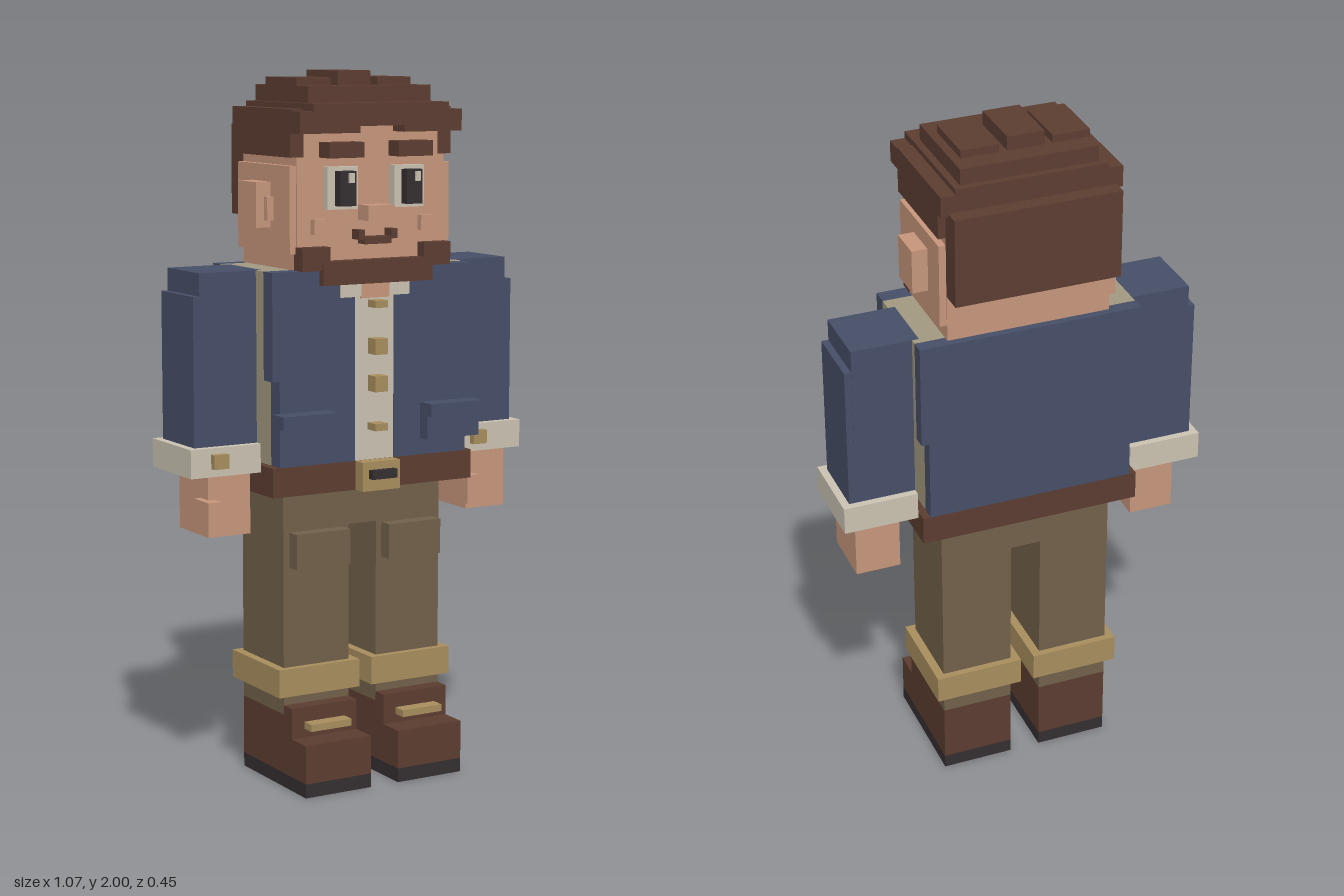
import * as THREE from 'three';

const paint = (name, color) => {
  const m = new THREE.MeshStandardMaterial({ color });
  m.name = name;
  return m;
};

export function createModel() {
  const skin = paint('skin', 0xc6957b);
  const hair = paint('brown hair', 0x5c3d31);
  const leather = paint('brown leather', 0x5b3c30);
  const jacket = paint('blue jacket', 0x464e67);
  const cream = paint('cream cloth', 0xcac2b1);
  const shirt = paint('shirt beige', 0xa2987f);
  const trousers = paint('olive trousers', 0x71604a);
  const tan = paint('tan brass', 0xa78d5d);
  const dark = paint('near black', 0x342e30);

  const model = new THREE.Group();
  const group = (name) => {
    const g = new THREE.Group();
    g.name = name;
    model.add(g);
    return g;
  };
  // Box given by its lower and upper limits on each axis
  const box = (parent, name, mat, x0, x1, y0, y1, z0, z1) => {
    const mesh = new THREE.Mesh(new THREE.BoxGeometry(x1 - x0, y1 - y0, z1 - z0), mat);
    mesh.position.set((x0 + x1) / 2, (y0 + y1) / 2, (z0 + z1) / 2);
    mesh.name = name;
    parent.add(mesh);
  };
  // The same box on both sides
  const pair = (parent, name, mat, x0, x1, ...yz) => {
    box(parent, name + 'Left', mat, x0, x1, ...yz);
    box(parent, name + 'Right', mat, -x1, -x0, ...yz);
  };

  // Boots and legs
  const legs = group('legs');
  pair(legs, 'sole', dark, 0.045, 0.255, 0, 0.04, -0.14, 0.225);
  pair(legs, 'bootFoot', leather, 0.045, 0.255, 0.04, 0.15, -0.14, 0.225);
  pair(legs, 'bootShaft', leather, 0.045, 0.255, 0.15, 0.21, -0.14, 0.145);
  pair(legs, 'bootTongue', leather, 0.045, 0.255, 0.21, 0.237, 0.1, 0.145);
  pair(legs, 'bootLace', tan, 0.085, 0.215, 0.175, 0.195, 0.145, 0.185);
  pair(legs, 'trouserLeg', trousers, 0.045, 0.255, 0.21, 0.735, -0.14, 0.1);
  pair(legs, 'trouserCuff', tan, 0.02, 0.28, 0.265, 0.345, -0.16, 0.12);
  pair(legs, 'thighPocket', trousers, 0.063, 0.235, 0.63, 0.73, 0.1, 0.142);
  box(legs, 'hips', trousers, -0.255, 0.255, 0.735, 0.845, -0.14, 0.1);

  // Belt
  const belt = group('belt');
  box(belt, 'beltBand', leather, -0.322, 0.322, 0.845, 0.927, -0.18, 0.165);
  box(belt, 'buckle', tan, -0.06, 0.06, 0.845, 0.927, 0.165, 0.205);
  box(belt, 'bucklePin', dark, -0.04, 0.04, 0.88, 0.905, 0.205, 0.225);

  // Shirt and open jacket, narrower below the arms
  const torso = group('torso');
  for (const [part, w, y0, y1] of [['lower', 0.3, 0.927, 1.165], ['upper', 0.322, 1.165, 1.463]]) {
    box(torso, part + 'Shirt', shirt, -w, w, y0, y1, -0.14, 0.115);
    box(torso, part + 'JacketBack', jacket, -w, w, y0, y1, -0.18, -0.14);
    pair(torso, part + 'JacketFront', jacket, 0.063, w, y0, y1 > 1.4 ? 1.42 : y1, 0.115, 0.165);
  }
  pair(torso, 'jacketShoulder', jacket, 0.165, 0.322, 1.42, 1.463, 0.115, 0.165);
  pair(torso, 'collar', cream, 0.045, 0.165, 1.42, 1.463, 0.115, 0.165);
  pair(torso, 'collarPoint', cream, 0.045, 0.11, 1.385, 1.43, 0.12, 0.17);
  box(torso, 'placket', cream, -0.063, 0.063, 0.927, 1.385, 0.115, 0.163);
  box(torso, 'neck', skin, -0.045, 0.045, 1.38, 1.47, 0.1, 0.167);
  pair(torso, 'jacketPocket', jacket, 0.15, 0.322, 0.975, 1.04, 0.165, 0.205);
  pair(torso, 'pocketFlap', jacket, 0.15, 0.322, 1.04, 1.077, 0.165, 0.225);
  for (const [y, h] of [[1.247, 0.022], [1.143, 0.022], [1.022, 0.01], [1.365, 0.01]]) {
    box(torso, 'shirtButton', tan, -0.02, 0.02, y - h, y + h, 0.163, 0.205);
  }

  // Sleeves
  const arms = group('arms');
  pair(arms, 'upperSleeve', jacket, 0.302, 0.495, 1.165, 1.463, -0.12, 0.072);
  pair(arms, 'outerSleeve', jacket, 0.322, 0.515, 0.985, 1.4, -0.119, 0.073);
  pair(arms, 'sleeveCuff', cream, 0.322, 0.537, 0.907, 0.987, -0.14, 0.095);
  // Hands share one shape, shifted across
  for (const [side, x] of [['Left', 0.43], ['Right', -0.41]]) {
    box(arms, 'hand' + side, skin, x - 0.065, x + 0.065, 0.735, 0.907, -0.1, 0.075);
    box(arms, 'thumb' + side, skin, x - 0.085, x - 0.045, 0.757, 0.84, 0.03, 0.115);
    box(arms, 'cuffButton' + side, tan, x - 0.065, x - 0.02, 0.93, 0.97, 0.095, 0.115);
  }

  // Head and ears
  const head = group('head');
  box(head, 'skull', skin, -0.235, 0.235, 1.463, 1.86, -0.158, 0.147);
  pair(head, 'cheekSide', skin, 0.235, 0.255, 1.508, 1.747, -0.155, 0.143);
  pair(head, 'ear', skin, 0.255, 0.3, 1.575, 1.7, -0.07, 0.035);
  pair(head, 'earFront', skin, 0.255, 0.275, 1.595, 1.66, 0.035, 0.053);

  // Face
  const face = group('face');
  for (const [side, x] of [['Left', 0.108], ['Right', -0.104]]) {
    box(face, 'eyeWhite' + side, cream, x - 0.048, x + 0.048, 1.627, 1.743, 0.147, 0.17);
    box(face, 'pupil' + side, dark, x - 0.025, x + 0.025, 1.637, 1.732, 0.17, 0.2);
    box(face, 'eyeGlint' + side, cream, x, x + 0.016, 1.7, 1.727, 0.2, 0.207);
  }
  pair(face, 'brow', hair, 0.055, 0.165, 1.768, 1.81, 0.147, 0.203);
  pair(face, 'cheek', skin, 0.15, 0.192, 1.56, 1.602, 0.147, 0.167);
  box(face, 'nose', skin, -0.042, 0.042, 1.595, 1.637, 0.147, 0.203);
  box(face, 'mouth', hair, -0.042, 0.042, 1.53, 1.55, 0.147, 0.185);
  pair(face, 'mouthCorner', hair, 0.042, 0.062, 1.543, 1.57, 0.147, 0.185);
  box(face, 'beardChin', hair, -0.175, 0.175, 1.422, 1.487, 0.147, 0.187);
  pair(face, 'beardSide', hair, 0.15, 0.237, 1.463, 1.527, 0.135, 0.182);

  // Stepped hair
  const hairstyle = group('hair');
  box(hairstyle, 'hairBack', hair, -0.238, 0.236, 1.597, 1.85, -0.225, -0.158);
  box(hairstyle, 'hairCrown', hair, -0.257, 0.257, 1.84, 1.9, -0.18, 0.147);
  box(hairstyle, 'hairFringe', hair, -0.257, 0.257, 1.853, 1.895, 0.147, 0.205);
  pair(hairstyle, 'fringeSide', hair, 0.07, 0.257, 1.835, 1.853, 0.147, 0.205);
  box(hairstyle, 'fringeTop', hair, -0.215, 0.215, 1.895, 1.915, -0.18, 0.205);
  pair(hairstyle, 'sideburn', hair, 0.215, 0.257, 1.77, 1.84, -0.158, 0.149);
  box(hairstyle, 'hairTop', hair, -0.195, 0.195, 1.91, 1.96, -0.16, 0.14);
  box(hairstyle, 'tuftMiddle', hair, -0.065, 0.04, 1.96, 2, -0.1, 0.075);
  box(hairstyle, 'tuftRight', hair, -0.195, -0.088, 1.96, 1.982, -0.1, 0.075);
  box(hairstyle, 'tuftLeft', hair, 0.063, 0.17, 1.96, 1.982, -0.1, 0.075);

  return model;
}
